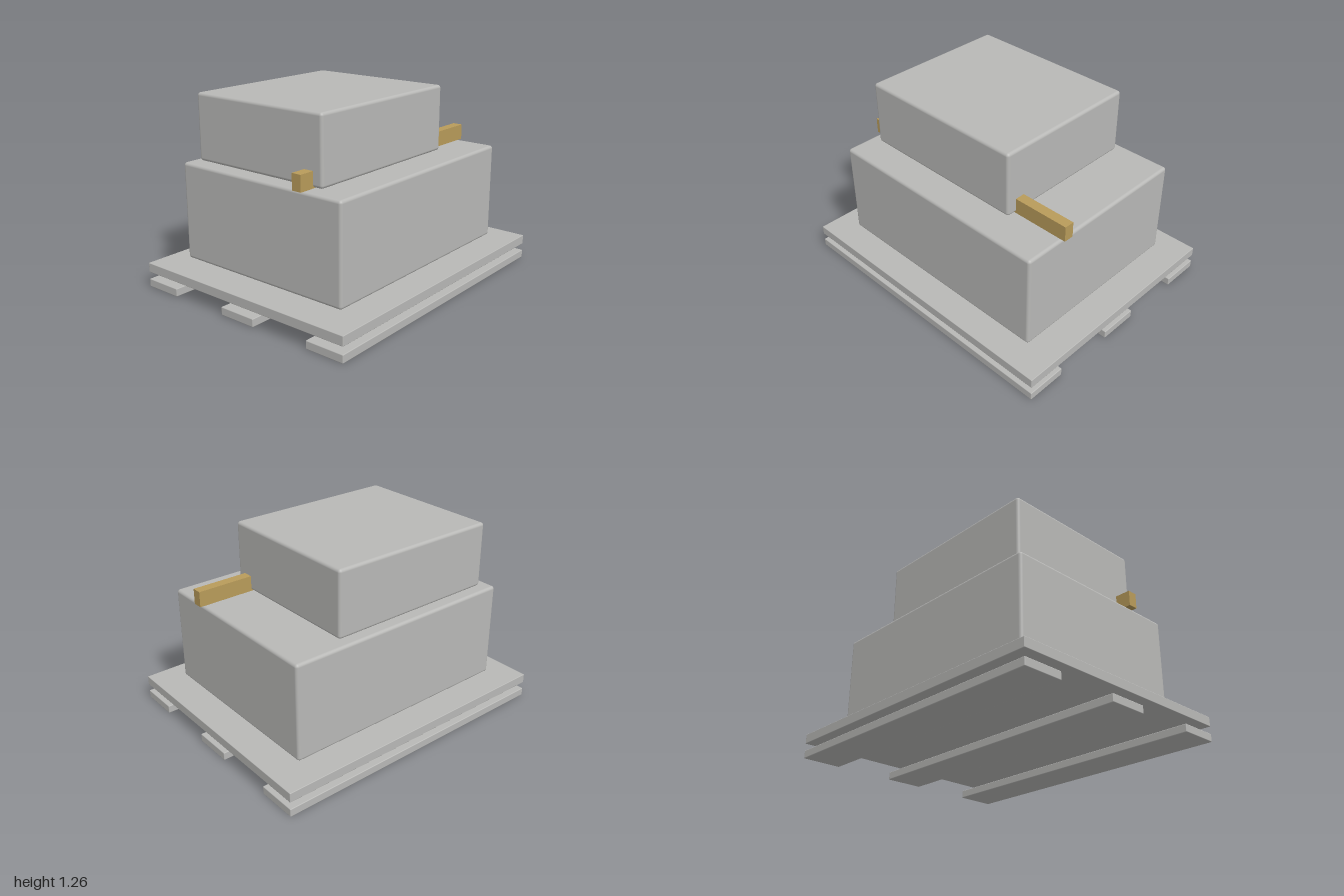
import * as THREE from 'three';
import { RoundedBoxGeometry } from 'three/addons/geometries/RoundedBoxGeometry.js';

export function createModel() {
  const group = new THREE.Group();
  const grey = new THREE.MeshStandardMaterial({ color: 0xb8b8b6 });
  grey.name = 'light grey';
  const tan = new THREE.MeshStandardMaterial({ color: 0xb89b5a });
  tan.name = 'tan';

  // Box given by its min and max on each axis; radius 0 keeps sharp edges
  function block(name, [x0, x1], [y0, y1], [z0, z1], radius, material) {
    const size = [x1 - x0, y1 - y0, z1 - z0];
    const geometry = radius > 0
      ? new RoundedBoxGeometry(...size, 3, radius)
      : new THREE.BoxGeometry(...size);
    const mesh = new THREE.Mesh(geometry, material);
    mesh.name = name;
    mesh.position.set((x0 + x1) / 2, (y0 + y1) / 2, (z0 + z1) / 2);
    group.add(mesh);
  }

  // Three runners under the pallet
  ['backRunner', 'middleRunner', 'frontRunner'].forEach((name, i) => {
    const z = (i - 1) * 0.677;
    block(name, [-1, 1], [0, 0.053], [z - 0.133, z + 0.133], 0.005, grey);
  });

  // Pallet deck
  block('palletDeck', [-1, 1], [0.1, 0.163], [-0.81, 0.81], 0.004, grey);

  // Stacked crates, the upper one set off centre
  block('lowerCrate', [-0.81, 0.81], [0.185, 0.823], [-0.64, 0.64], 0.02, grey);
  block('upperCrate', [-0.73, 0.453], [0.829, 1.262], [-0.575, 0.44], 0.02, grey);

  // Bar running through the foot of the upper crate
  block('crossBar', [-0.833, 0.833], [0.825, 0.927], [0.307, 0.373], 0, tan);

  return group;
}
